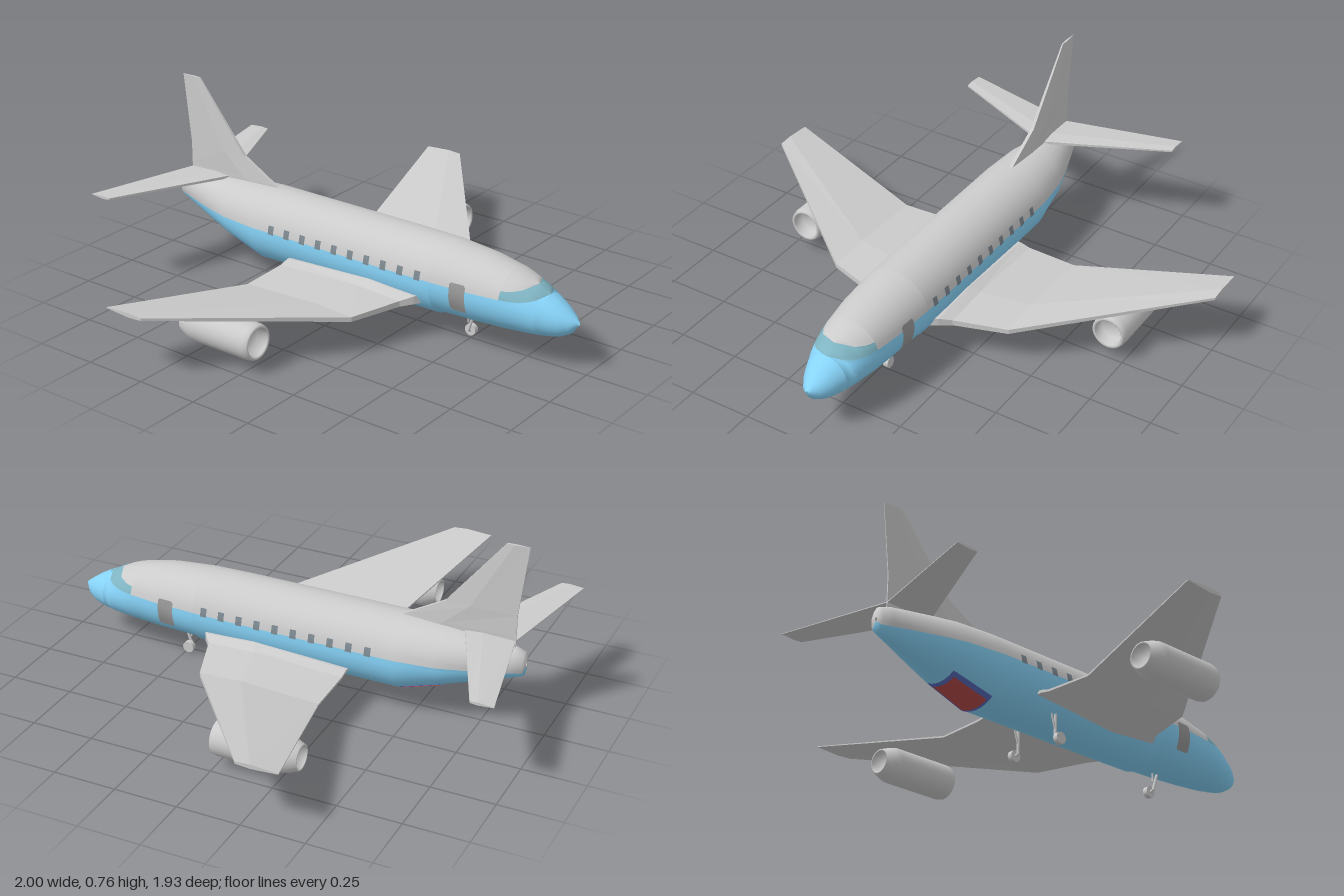
import * as THREE from 'three';

const GREY = 0xcccccc, BLUE = 0x87d3f8;
const mat = (color = GREY, flatShading = false) =>
  new THREE.MeshStandardMaterial({ color, flatShading, side: THREE.DoubleSide });

// Fuselage stations: z, top y, bottom y, half width
const STATIONS = [
  [0.96, 0.2, 0.185, 0.006], [0.935, 0.22, 0.15, 0.036], [0.9, 0.245, 0.13, 0.06],
  [0.87, 0.263, 0.122, 0.074], [0.84, 0.278, 0.117, 0.086], [0.815, 0.291, 0.114, 0.096],
  [0.79, 0.305, 0.111, 0.103], [0.76, 0.318, 0.109, 0.111], [0.725, 0.331, 0.107, 0.118],
  [0.69, 0.342, 0.104, 0.124], [0.57, 0.365, 0.098, 0.137], [0.401, 0.379, 0.094, 0.146],
  [0.4, 0.379, 0.085, 0.146], [0.25, 0.381, 0.085, 0.15], [-0.44, 0.381, 0.085, 0.15],
  [-0.6, 0.375, 0.135, 0.131], [-0.7, 0.365, 0.167, 0.103], [-0.8, 0.354, 0.199, 0.071],
  [-0.87, 0.345, 0.221, 0.047], [-0.908, 0.332, 0.235, 0.034], [-0.915, 0.29, 0.275, 0.006],
];

// Elliptical section of the fuselage at any z
function sectionAt(z) {
  let i = 0;
  while (i < STATIONS.length - 2 && STATIONS[i + 1][0] > z) i++;
  const a = STATIONS[i], b = STATIONS[i + 1];
  const t = (a[0] - z) / (a[0] - b[0]);
  const [top, bottom, w] = [1, 2, 3].map((k) => a[k] + (b[k] - a[k]) * t);
  return { c: (top + bottom) / 2, h: (top - bottom) / 2, w };
}

// Angle on the section at which the skin reaches height y
function angleAt(z, y) {
  const { c, h } = sectionAt(z);
  return Math.asin(THREE.MathUtils.clamp((y - c) / h, -1, 1));
}

// Skin from a list of equal rings of [x, y, z]
function skin(rings, closed) {
  const n = rings[0].length, index = [];
  for (let i = 0; i < rings.length - 1; i++) {
    for (let j = 0; j < (closed ? n : n - 1); j++) {
      const k = (j + 1) % n;
      const a = i * n + j, b = i * n + k, c = a + n, d = b + n;
      index.push(a, c, b, b, c, d);
    }
  }
  if (closed) { // tip cap
    const o = (rings.length - 1) * n;
    for (let j = 1; j < n - 1; j++) index.push(o, o + j + 1, o + j);
  }
  const g = new THREE.BufferGeometry();
  g.setAttribute('position', new THREE.Float32BufferAttribute(rings.flat(2), 3));
  g.setIndex(index);
  return g;
}

// Piece of fuselage skin between two z values and two angle functions
function panel(z0, z1, from, to, steps, grow = 0) {
  const zs = [z0, ...STATIONS.map((s) => s[0]).filter((z) => z < z0 && z > z1), z1];
  const g = skin(zs.map((z) => {
    const { c, h, w } = sectionAt(z), a0 = from(z), a1 = to(z);
    return Array.from({ length: steps + 1 }, (_, j) => {
      const a = a0 + (a1 - a0) * j / steps;
      return [(w + grow) * Math.cos(a), c + (h + grow) * Math.sin(a), z];
    });
  }), false);
  g.computeVertexNormals();
  return g;
}

// Aerofoil surface along x; sections: x, leading z, trailing z, y, thickness
function aerofoil(sections, side = 1) {
  const rings = sections.map(([x, le, te, y, th]) => {
    const ridge = le + (te - le) * 0.35, t = th / 2;
    return [[le, 0.55], [ridge, 1], [te, 0.2], [te, -0.2], [ridge, -1], [le, -0.55]]
      .map(([z, k]) => [x * side, y + k * t, z]);
  });
  const g = skin(rings, true);
  if (side < 0) g.setIndex(Array.from(g.index.array).reverse());
  const flat = g.toNonIndexed();
  flat.computeVertexNormals();
  return flat;
}

// Round rod between two points
function rod(p, q, r) {
  const a = new THREE.Vector3(...p), b = new THREE.Vector3(...q);
  const g = new THREE.CylinderGeometry(r, r, a.distanceTo(b), 8);
  const dir = b.clone().sub(a).normalize();
  g.applyQuaternion(new THREE.Quaternion().setFromUnitVectors(new THREE.Vector3(0, 1, 0), dir));
  const m = a.add(b).multiplyScalar(0.5);
  return g.translate(m.x, m.y, m.z);
}

export function createModel() {
  const root = new THREE.Group();
  const add = (name, geometry, material = mat(), parent = root) => {
    const m = new THREE.Mesh(geometry, material);
    m.name = name;
    parent.add(m);
    return m;
  };

  // Fuselage: blue hull, grey roof and wrap-round windscreen
  const { PI } = Math, SPLIT = 0.255;
  const low = (z) => angleAt(z, SPLIT + (z > 0.69 ? 0.023 * ((z - 0.69) / 0.15) ** 3 : 0));
  const high = (z) => angleAt(z, 0.285 + 0.02 * ((z - 0.69) / 0.1) ** 2);
  const nose = () => PI / 2;
  add('nose', panel(0.96, 0.84, () => PI / 2, () => PI * 2.5, 32), mat(BLUE));
  add('lowerHull', panel(0.84, -0.915, (z) => PI - low(z), (z) => 2 * PI + low(z), 24), mat(BLUE));
  add('windscreenLeft', panel(0.84, 0.69, low, (z) => (z > 0.79 ? nose() : high(z)), 6), mat(0x7fb4c2));
  add('windscreenRight', panel(0.84, 0.69, (z) => (z > 0.79 ? nose() : PI - high(z)),
    (z) => PI - low(z), 6), mat(0x7fb4c2));
  add('cockpitRoof', panel(0.79, 0.69, high, (z) => PI - high(z), 16));
  add('cabinRoof', panel(0.69, -0.915, low, (z) => PI - low(z), 20));

  // Cabin windows and doors on both sides
  const hatch = (name, z0, z1, y0, y1, color) => {
    add(name + 'Left', panel(z0, z1, (z) => angleAt(z, y0), (z) => angleAt(z, y1), 4, 0.002), mat(color));
    add(name + 'Right', panel(z0, z1, (z) => PI - angleAt(z, y1), (z) => PI - angleAt(z, y0), 4, 0.002), mat(color));
  };
  for (let i = 0; i < 10; i++) {
    const z = 0.35 - i * 0.077;
    hatch('window', z + 0.013, z - 0.013, 0.25, 0.284, 0x7c8890);
  }
  hatch('door', 0.557, 0.49, 0.17, 0.272, 0x999999);
  hatch('doorCentre', 0.552, 0.495, 0.165, 0.277, 0x999999);

  // Bordered hatch under the tail
  const belly = (k) => [() => PI * 1.5 - k, () => PI * 1.5 + k, 10];
  add('bellyHatchBorder', panel(-0.44, -0.615, ...belly(0.6), 0.002), mat(0x5a6cc0));
  add('bellyHatch', panel(-0.45, -0.6, ...belly(0.45), 0.004), mat(0xb84a4a));

  // Wings and tailplane
  const wing = [
    [0.08, 0.38, -0.26, 0.165, 0.06], [0.15, 0.34, -0.26, 0.165, 0.058],
    [0.19, 0.305, -0.26, 0.156, 0.042], [0.39, 0.235, -0.26, 0.15, 0.034],
    [1, -0.235, -0.4, 0.251, 0.018],
  ];
  const tailplane = [[0, -0.67, -0.868, 0.367, 0.02], [0.485, -0.877, -0.967, 0.378, 0.012]];
  for (const s of [1, -1]) {
    const side = s > 0 ? 'left' : 'right';
    add(side + 'Wing', aerofoil(wing, s), mat(GREY, true));
    add(side + 'Tailplane', aerofoil(tailplane, s), mat(GREY, true));
  }

  // Upright fin with its forward fillet
  const fin = aerofoil([
    [0.34, -0.36, -0.87, 0, 0.026], [0.385, -0.432, -0.87, 0, 0.026],
    [0.475, -0.59, -0.87, 0, 0.024], [0.757, -0.815, -0.903, 0, 0.01],
  ]).rotateZ(PI / 2);
  add('fin', fin, mat(GREY, true));

  // Hollow engine pods; z runs from intake to nozzle
  const podProfile = [
    [0, -0.05], [0.05, -0.05], [0.054, -0.005], [0.06, 0], [0.067, -0.005], [0.071, -0.025],
    [0.071, -0.28], [0.064, -0.305], [0.05, -0.34], [0.043, -0.34], [0.04, -0.31], [0, -0.31],
  ].map(([r, z]) => new THREE.Vector2(r, z));
  for (const [name, x, z] of [['leftEngine', 0.685, 0.006], ['rightEngine', -0.685, 0.04]]) {
    const pod = add(name, new THREE.LatheGeometry(podProfile, 28).rotateX(PI / 2));
    pod.position.set(x, 0.114, z);
  }

  // Landing gear: strut, brace, axle and wheel
  const gear = (name, x, wheelX, z, topZ, topY) => {
    const g = new THREE.Group();
    g.name = name;
    root.add(g);
    add('strut', rod([x, topY, topZ], [x, 0.025, z], 0.006), mat(), g);
    add('brace', rod([x, topY, topZ - 0.03], [x, 0.06, z], 0.004), mat(), g);
    add('axle', rod([x, 0.024, z], [wheelX, 0.024, z], 0.006), mat(), g);
    add('wheel', new THREE.CylinderGeometry(0.023, 0.023, 0.02, 20).rotateZ(PI / 2), mat(), g)
      .position.set(wheelX, 0.023, z);
  };
  gear('noseGear', 0, 0.022, 0.487, 0.515, 0.11);
  gear('leftMainGear', 0.1, 0.122, -0.14, -0.14, 0.16);
  gear('rightMainGear', -0.1, -0.122, -0.14, -0.14, 0.16);

  return root;
}
